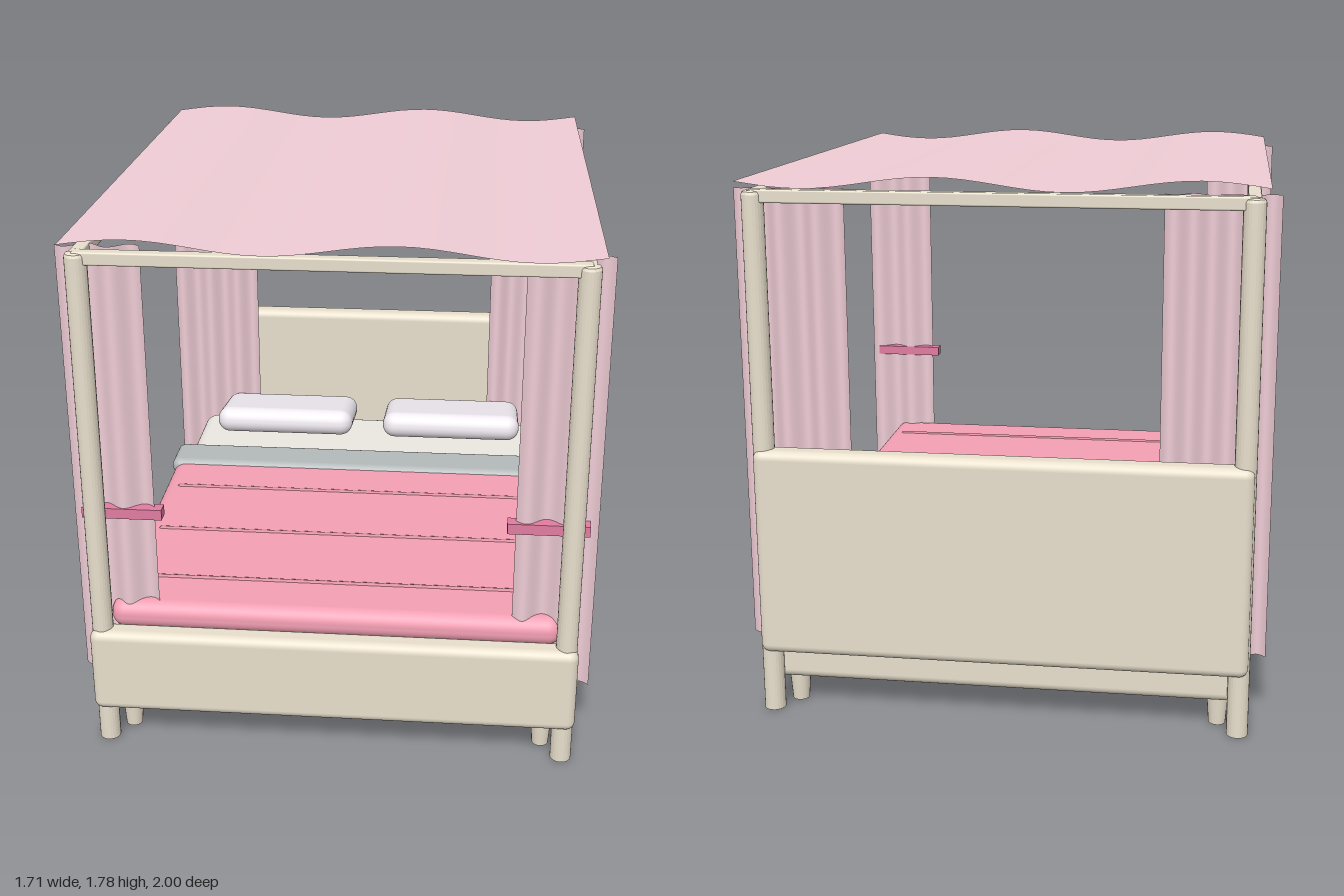
import * as THREE from 'three';
import { RoundedBoxGeometry } from 'three/addons/geometries/RoundedBoxGeometry.js';

const paint = (color, side = THREE.FrontSide) => new THREE.MeshStandardMaterial({ color, side });

export function createModel() {
  const model = new THREE.Group();
  model.name = 'canopyBed';
  const wood = paint(0xe8dfcc);
  const linen = paint(0xece8e2);
  const pillowCloth = paint(0xf1ebf2);
  const pink = paint(0xf4a0b4);
  const seamPink = paint(0xd98a9c);
  const grey = paint(0xb4b9b9);
  const tiePink = paint(0xe27ca2);
  const sheer = paint(0xf0cdd6, THREE.DoubleSide);

  function add(name, geometry, material, x = 0, y = 0, z = 0) {
    const mesh = new THREE.Mesh(geometry, material);
    mesh.name = name;
    mesh.position.set(x, y, z);
    model.add(mesh);
    return mesh;
  }
  // Soft-edged block given by its size, centre and edge radius
  function block(name, material, [w, h, d], [x, y, z], r) {
    return add(name, new RoundedBoxGeometry(w, h, d, 4, r), material, x, y, z);
  }
  // Vertical sheet with folds running down it
  function foldedSheet(width, height, folds, depth) {
    const g = new THREE.PlaneGeometry(width, height, folds * 16, 1);
    const p = g.attributes.position;
    for (let i = 0; i < p.count; i++) {
      const u = p.getX(i) / width + 0.5;
      p.setZ(i, depth * Math.sin(u * folds * Math.PI * 2));
    }
    g.computeVertexNormals();
    return g;
  }

  // Bed base and end boards
  block('bedBase', wood, [1.56, 0.17, 1.88], [0, 0.185, 0], 0.03);
  block('footboard', wood, [1.62, 0.3, 0.09], [0, 0.28, 0.955], 0.03);
  block('headboard', wood, [1.6, 0.695, 0.09], [0, 0.558, -0.955], 0.03);

  // Corner posts and small tapered legs
  const postProfile = [[0, 0], [0.035, 0], [0.035, 1.722], [0.031, 1.731], [0.022, 1.735], [0, 1.735]];
  const postGeometry = new THREE.LatheGeometry(postProfile.map(([x, y]) => new THREE.Vector2(x, y)), 24);
  const post = postGeometry.toNonIndexed();
  post.computeVertexNormals();
  const leg = new THREE.CylinderGeometry(0.037, 0.028, 0.12, 20);
  for (const sx of [-1, 1]) for (const sz of [-1, 1]) {
    add('post', post, wood, sx * 0.771, 0, sz * 0.948);
    add('leg', leg, wood, sx * 0.705, 0.06, sz * 0.868);
  }

  // Canopy rails
  for (const s of [-1, 1]) {
    block('canopyCrossRail', wood, [1.56, 0.042, 0.042], [0, 1.718, s * 0.948], 0.006);
    block('canopySideRail', wood, [0.042, 0.042, 1.9], [s * 0.771, 1.716, 0], 0.006);
  }

  // Rippled canopy cloth
  const canopy = foldedSheet(1.64, 1.965, 2, 0.02);
  canopy.rotateX(-Math.PI / 2);
  add('canopyCloth', canopy, sheer, 0, 1.765, 0);

  // Mattress, blanket, seams and folded throw
  block('mattress', linen, [1.48, 0.18, 1.78], [0, 0.35, 0.02], 0.055);
  block('blanket', pink, [1.51, 0.1, 1.225], [0, 0.445, 0.3], 0.045);
  const seam = new THREE.CapsuleGeometry(0.012, 1.38, 4, 10);
  seam.rotateZ(Math.PI / 2);
  for (const z of [0.71, 0.355, 0]) add('blanketSeam', seam, seamPink, 0, 0.489, z);
  block('foldedThrow', grey, [1.53, 0.065, 0.185], [0, 0.478, -0.283], 0.03);

  // Pillows, leaning with the front edge raised
  for (const s of [-1, 1]) {
    const pillow = block('pillow', pillowCloth, [0.57, 0.105, 0.35], [s * 0.35, 0.516, -0.695], 0.05);
    pillow.rotation.x = -0.17;
  }

  // Curtains at the four corners, tied at the front
  const frontCurtain = foldedSheet(0.265, 1.495, 2, 0.02);
  const backCurtain = foldedSheet(0.355, 1.495, 3, 0.02);
  for (const s of [-1, 1]) {
    add('frontCurtain', frontCurtain, sheer, s * 0.7225, 0.9875, 0.875);
    add('backCurtain', backCurtain, sheer, s * 0.6775, 0.9875, -0.877);
    add('curtainTie', new THREE.BoxGeometry(0.265, 0.036, 0.046), tiePink, s * 0.695, 0.828, 0.877);
  }
  return model;
}
